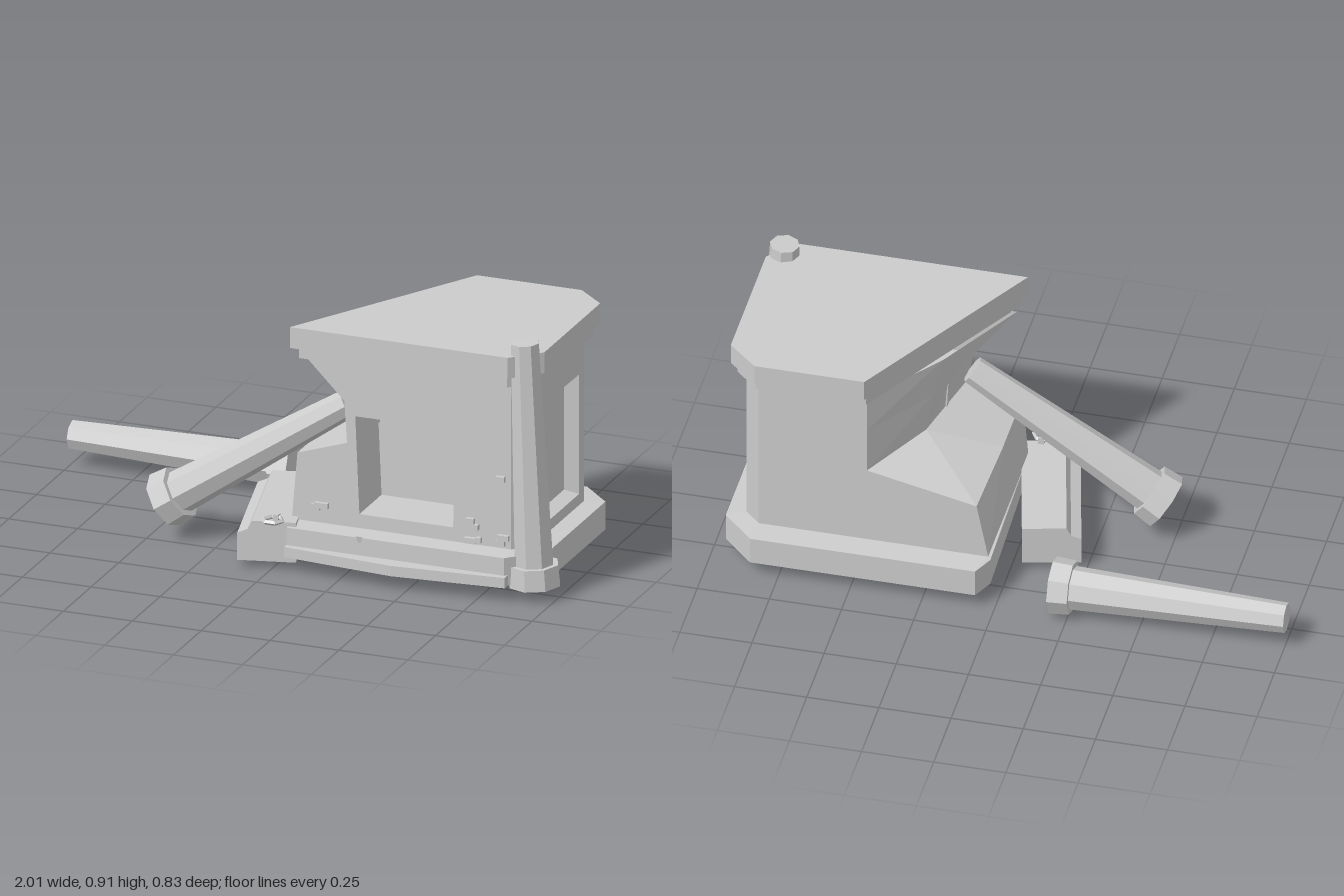
import * as THREE from 'three';

const mat = new THREE.MeshStandardMaterial({ color: 0xcccccc, flatShading: true, side: THREE.DoubleSide });

function add(parent, name, geometry) {
  const m = new THREE.Mesh(geometry, mat);
  m.name = name;
  parent.add(m);
  return m;
}

// Joins closed loops of points into walls; edges in skip stay open, cap closes the last loop
function loft(sections, { skip = [], cap = false } = {}) {
  const n = sections[0].length, pos = [];
  const tri = (...pts) => pts.forEach(p => pos.push(...p));
  for (let s = 0; s < sections.length - 1; s++) {
    for (let i = 0; i < n; i++) {
      if (skip.includes(i)) continue;
      const j = (i + 1) % n;
      const a = sections[s][i], b = sections[s][j], c = sections[s + 1][j], d = sections[s + 1][i];
      tri(a, b, c);
      tri(a, c, d);
    }
  }
  const last = sections[sections.length - 1];
  if (cap) for (let i = 1; i < n - 1; i++) tri(last[0], last[i], last[i + 1]);
  const g = new THREE.BufferGeometry();
  g.setAttribute('position', new THREE.Float32BufferAttribute(pos, 3));
  g.computeVertexNormals();
  return g;
}

const toShape = pts => new THREE.Shape(pts.map(p => new THREE.Vector2(...p)));

// Flat slab from an [x, z] outline
function slab(outline, y0, y1) {
  const g = new THREE.ExtrudeGeometry(toShape(outline.map(([x, z]) => [x, -z])), { depth: y1 - y0, bevelEnabled: false });
  return g.rotateX(-Math.PI / 2).translate(0, y0, 0);
}

// Wall face with an opening that runs back to a smaller or equal inner panel
function recessedWall(parent, name, outline, opening, inset, depth) {
  const g = new THREE.Group();
  g.name = name;
  const shape = toShape(outline);
  shape.holes.push(new THREE.Path(opening.map(p => new THREE.Vector2(...p))));
  add(g, name + 'Face', new THREE.ShapeGeometry(shape));
  const cx = opening.reduce((s, p) => s + p[0], 0) / 4;
  const cy = opening.reduce((s, p) => s + p[1], 0) / 4;
  const front = opening.map(([x, y]) => [x, y, 0]);
  const back = opening.map(([x, y]) => [x - Math.sign(x - cx) * inset, y - Math.sign(y - cy) * inset, -depth]);
  add(g, name + 'Recess', loft([front, back], { cap: true }));
  parent.add(g);
  return g;
}

// Eight-sided tapering column with a wide foot at its start
function column(parent, name, from, to, footR, footH, r0, r1) {
  const a = new THREE.Vector3(...from), dir = new THREE.Vector3(...to).sub(a);
  const len = dir.length(), g = new THREE.Group();
  g.name = name;
  add(g, name + 'Foot', new THREE.CylinderGeometry(footR * 0.95, footR, footH, 8).translate(0, footH / 2, 0));
  add(g, name + 'Shaft', new THREE.CylinderGeometry(r1, r0, len - footH, 8).translate(0, (len + footH) / 2, 0));
  g.position.copy(a);
  g.quaternion.setFromUnitVectors(new THREE.Vector3(0, 1, 0), dir.normalize());
  parent.add(g);
}

export function createModel() {
  const root = new THREE.Group();
  root.name = 'ruinedPedestal';

  // Body: front left, four chamfer corners, then back and middle points of the broken side
  const F = 0.28, B = -0.3, R = 0.89;
  const ring = (y, fl, back, mid) => [
    [fl[0], fl[1], F], [0.835, y, F], [R, y, 0.225], [R, y, -0.245], [0.835, y, B],
    [back[0], back[1], B], mid,
  ];
  const body = [
    ring(0.16, [0.04, 0.16], [0.04, 0.16], [0.04, 0.16, 0]),
    ring(0.38, [0.06, 0.4], [0.08, 0.366], [0.06, 0.4, 0]),
    ring(0.46, [0.24, 0.46], [0.46, 0.45], [0.31, 0.48, -0.07]),
    ring(0.61, [0.23, 0.61], [0.46, 0.62], [0.29, 0.62, -0.06]),
    ring(0.76, [0.08, 0.76], [0.46, 0.76], [0.26, 0.76, -0.04]),
  ];
  add(root, 'body', loft(body, { skip: [0, 2] }));

  // Front wall with its deep niche, side wall with its bevelled panel
  const frontOutline = [[0.835, 0.76], ...body.map(s => s[0].slice(0, 2)).reverse(), [0.835, 0.16]];
  recessedWall(root, 'niche', frontOutline, [[0.285, 0.21], [0.625, 0.21], [0.635, 0.56], [0.27, 0.56]], 0, 0.2)
    .position.z = F;
  const side = recessedWall(root, 'sidePanel', [[-0.225, 0.16], [0.245, 0.16], [0.245, 0.76], [-0.225, 0.76]],
    [[-0.16, 0.2], [0.2, 0.2], [0.2, 0.63], [-0.16, 0.635]], 0.013, 0.05);
  side.rotation.y = Math.PI / 2;
  side.position.x = R;

  // Plinth, open underneath
  const plinth = [[0.05, 0.355], [0.84, 0.355], [0.955, 0.235], [0.955, -0.275], [0.845, -0.385], [0.065, -0.385], [0.03, -0.31]];
  add(root, 'plinth', loft([
    plinth.map(([x, z]) => [x, 0.055, z]),
    plinth.map(([x, z]) => [x, 0.155, z]),
    body[0],
  ]));
  add(root, 'frontStep', slab([[0.05, 0.34], [0.85, 0.34], [0.85, 0.375], [0.45, 0.41], [0.05, 0.375]], 0.055, 0.092));

  // Cornice and top slab, cut along the diagonal break
  add(root, 'cornice', slab([[0.08, 0.315], [0.835, 0.315], [0.92, 0.23], [0.92, -0.255], [0.835, -0.335], [0.455, -0.335]], 0.755, 0.8));
  add(root, 'topSlab', slab([[0.055, 0.335], [0.845, 0.335], [0.94, 0.24], [0.94, -0.265], [0.835, -0.36], [0.455, -0.36]], 0.795, 0.87));

  // Columns: standing, leaning and fallen
  column(root, 'standingColumn', [0.918, 0.045, 0.272], [0.882, 0.91, 0.272], 0.092, 0.075, 0.07, 0.051);
  column(root, 'leaningColumn', [-0.46, 0.123, 0.185], [0.21, 0.567, 0.18], 0.1, 0.07, 0.075, 0.049);
  column(root, 'fallenColumn', [-0.19, 0.1, -0.325], [-1, 0.105, -0.325], 0.098, 0.07, 0.075, 0.052);

  // Fallen piece of moulding
  const profile = [[-0.1, 0.027], [0.1, 0.027], [0.1, 0.17], [-0.05, 0.17], [-0.065, 0.14], [-0.1, 0.125]];
  const chunk = add(root, 'fallenMoulding', new THREE.ExtrudeGeometry(toShape(profile), { depth: 0.49, bevelEnabled: false }));
  chunk.position.set(-0.135, 0, -0.112);
  chunk.rotation.y = Math.atan2(0.118, 0.48);

  // Ring on the fallen moulding
  const loop = add(root, 'ring', new THREE.TorusGeometry(0.033, 0.008, 4, 6).rotateX(Math.PI / 2));
  loop.position.set(0.01, 0.183, 0.375);
  add(root, 'ringPin', new THREE.BoxGeometry(0.02, 0.03, 0.02)).position.set(0.01, 0.18, 0.345);

  // Exposed bricks: x, y, width
  const bricks = [
    [0.15, 0.225, 0.05], [0.13, 0.218, 0.03], [0.69, 0.245, 0.03], [0.705, 0.225, 0.03],
    [0.69, 0.175, 0.04], [0.72, 0.18, 0.02], [0.8, 0.41, 0.03], [0.81, 0.2, 0.04], [0.8, 0.18, 0.03],
  ];
  for (const [x, y, w] of bricks) add(root, 'brick', new THREE.BoxGeometry(w, 0.02, 0.03)).position.set(x, y, F);

  // Chip on the plinth edge
  add(root, 'chip', new THREE.ConeGeometry(0.014, 0.04, 3).rotateX(Math.PI)).position.set(0.315, 0.14, 0.352);

  return root;
}
